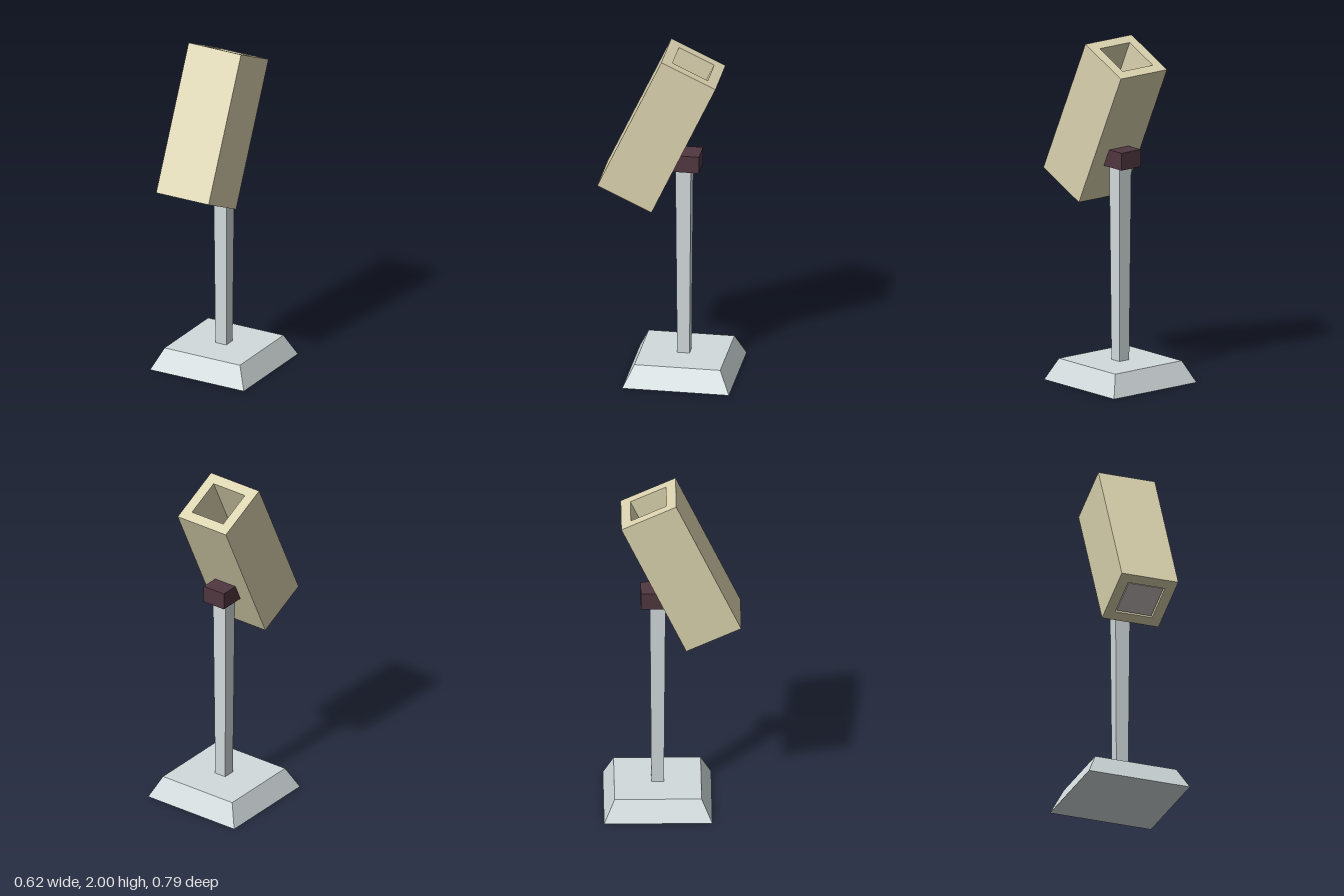
import * as THREE from 'three';

const mat = (name, color) => {
  const m = new THREE.MeshStandardMaterial({ color });
  m.name = name;
  return m;
};

// Square block standing on y = 0 whose bottom and top half-widths differ
function taperedBlock(bottom, top, height) {
  const g = new THREE.BoxGeometry(2, height, 2).toNonIndexed();
  g.translate(0, height / 2, 0);
  const p = g.attributes.position;
  for (let i = 0; i < p.count; i++) {
    const s = p.getY(i) > height / 2 ? top : bottom;
    p.setX(i, p.getX(i) * s);
    p.setZ(i, p.getZ(i) * s);
  }
  g.computeVertexNormals();
  return g;
}

// Square outline centred on the origin
function square(half, Type) {
  const s = new Type();
  s.moveTo(-half, -half);
  s.lineTo(half, -half);
  s.lineTo(half, half);
  s.lineTo(-half, half);
  s.closePath();
  return s;
}

export function createModel() {
  const model = new THREE.Group();
  const paleGrey = mat('pale grey', 0xd3dbdd);
  const cream = mat('cream', 0xdbd3af);
  const maroon = mat('dark maroon', 0x50373f);
  const lensGrey = mat('lens grey', 0xc8c0be);
  const axisZ = -0.083;

  const add = (parent, name, geometry, material, x, y, z) => {
    const mesh = new THREE.Mesh(geometry, material);
    mesh.name = name;
    mesh.position.set(x, y, z);
    parent.add(mesh);
    return mesh;
  };

  // Stand
  add(model, 'base', taperedBlock(0.311, 0.25, 0.127), paleGrey, 0, 0, axisZ);
  add(model, 'pole', taperedBlock(0.036, 0.045, 1.16), paleGrey, 0, 0.12, axisZ);

  // Bracket, its front end cut to the slope of the tilted housing
  const profile = new THREE.Shape([
    [0.18, 1.275], [0.18, 1.377], [0.057, 1.377], [0.01, 1.275],
  ].map(([x, y]) => new THREE.Vector2(x, y)));
  const bracket = new THREE.ExtrudeGeometry(profile, { depth: 0.146, bevelEnabled: false });
  bracket.translate(0, 0, -0.073);
  bracket.rotateY(Math.PI / 2);
  add(model, 'bracket', bracket, maroon, 0, 0, 0);

  // Tilted square tube with a panel set into its lower end
  const head = new THREE.Group();
  head.name = 'head';
  head.position.set(0, 1.528, 0.051);
  head.rotation.x = THREE.MathUtils.degToRad(-25);
  model.add(head);

  const length = 0.883;
  const outline = square(0.174, THREE.Shape);
  outline.holes.push(square(0.113, THREE.Path));
  const tube = new THREE.ExtrudeGeometry(outline, { depth: length, bevelEnabled: false });
  tube.translate(0, 0, -length / 2);
  tube.rotateX(-Math.PI / 2);
  add(head, 'housing', tube, cream, 0, 0, 0);
  add(head, 'lowerPanel', new THREE.BoxGeometry(0.212, 0.03, 0.212), lensGrey, 0, -length / 2 + 0.02, 0);

  return model;
}
